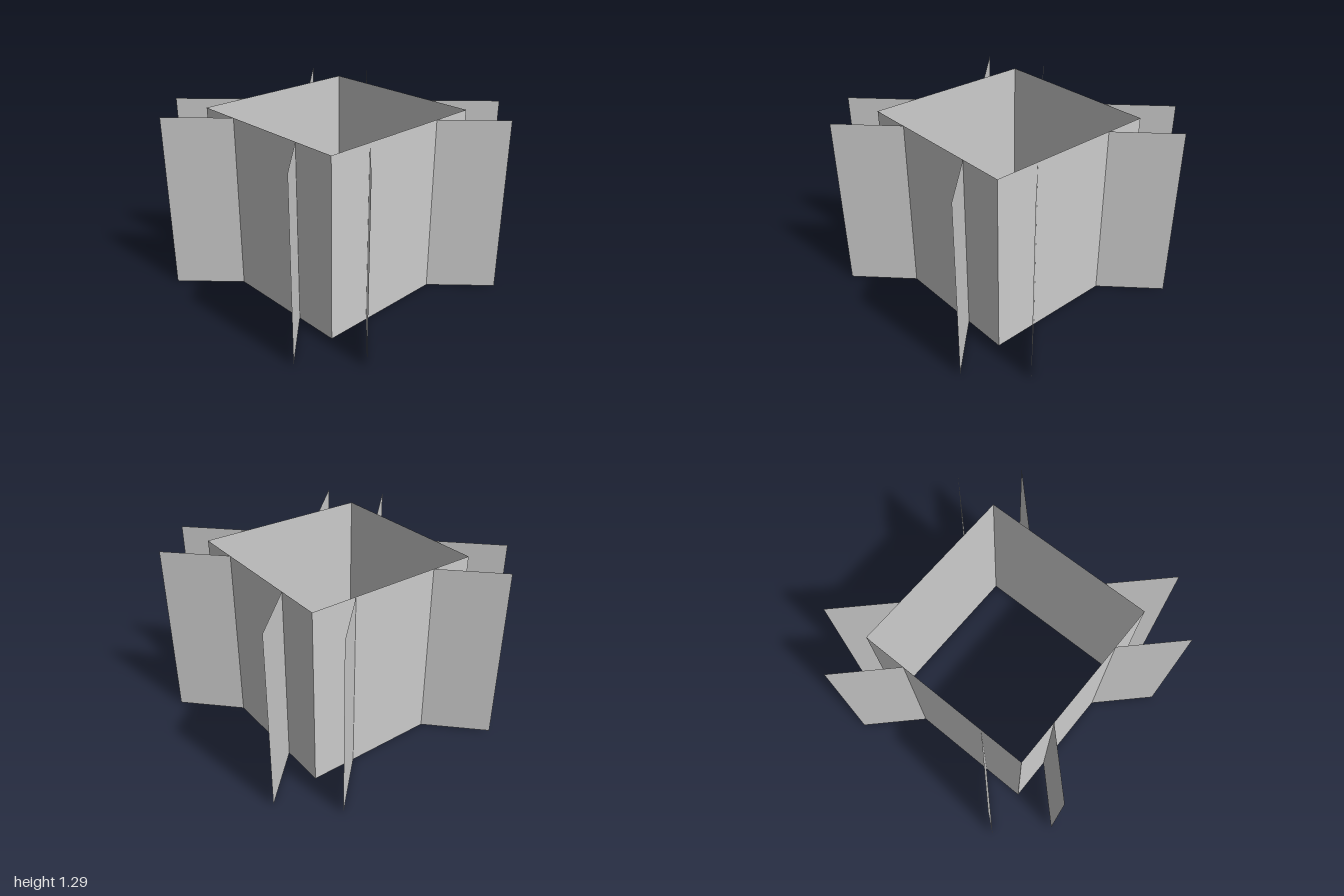
import * as THREE from 'three';

const HALF = 0.645;          // half the width of the square tube
const HEIGHT = 1.29;
const REACH = 0.355;         // how far each fin stands out along x and z

export function createModel() {
  const model = new THREE.Group();
  const material = new THREE.MeshStandardMaterial({
    color: 0xcccccc, flatShading: true, side: THREE.DoubleSide,
  });
  const wallGeometry = new THREE.PlaneGeometry(2 * HALF, HEIGHT);
  const finGeometry = new THREE.PlaneGeometry(REACH * Math.SQRT2, HEIGHT);

  // Four equal sides around an open-ended square tube
  for (let i = 0; i < 4; i++) {
    const side = new THREE.Group();
    side.name = `side${i + 1}`;
    side.rotation.y = i * Math.PI / 2;

    const wall = new THREE.Mesh(wallGeometry, material);
    wall.name = 'wall';
    wall.position.set(0, HEIGHT / 2, HALF);
    side.add(wall);

    // Two thin fins splayed outward at 45 degrees
    for (const s of [-1, 1]) {
      const fin = new THREE.Mesh(finGeometry, material);
      fin.name = s > 0 ? 'leftFin' : 'rightFin';
      fin.position.set(s * (HALF / 2 + REACH / 2), HEIGHT / 2, HALF + REACH / 2);
      fin.rotation.y = -s * Math.PI / 4;
      side.add(fin);
    }
    model.add(side);
  }
  return model;
}
